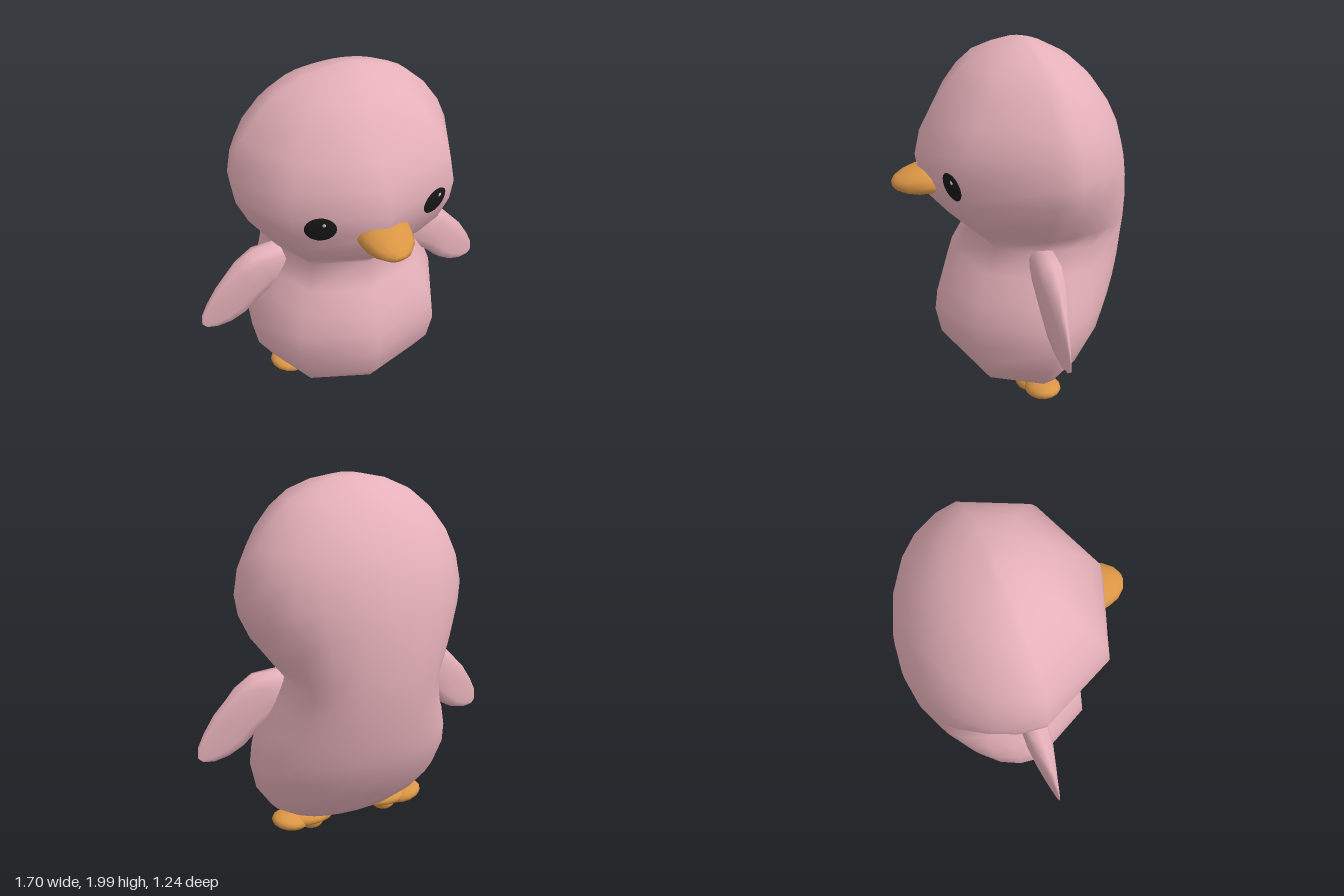
import * as THREE from 'three';

const material = (name, color) => {
  const m = new THREE.MeshStandardMaterial({ color });
  m.name = name;
  return m;
};

// Skin a list of closed rings and close both ends; optionally mirror in x.
function loft(rings, mirror = false) {
  const n = rings[0].length, pos = [], idx = [];
  for (const r of rings) for (const p of r) pos.push(...p);
  for (let i = 0; i < rings.length - 1; i++) {
    for (let j = 0; j < n; j++) {
      const k = (j + 1) % n, a = i * n + j, b = i * n + k;
      idx.push(a, b, b + n, a, b + n, a + n);
    }
  }
  [0, rings.length - 1].forEach((r, end) => {
    const c = pos.length / 3;
    for (let d = 0; d < 3; d++) pos.push(rings[r].reduce((s, p) => s + p[d], 0) / n);
    for (let j = 0; j < n; j++) {
      const a = r * n + j, b = r * n + (j + 1) % n;
      if (end) idx.push(a, b, c); else idx.push(b, a, c);
    }
  });
  if (mirror) {
    for (let i = 0; i < pos.length; i += 3) pos[i] *= -1;
    idx.reverse();
  }
  const g = new THREE.BufferGeometry();
  g.setAttribute('position', new THREE.Float32BufferAttribute(pos, 3));
  g.setIndex(idx);
  g.computeVertexNormals();
  return g;
}

const circle = (n) => Array.from({ length: n }, (_, i) => (i / n) * Math.PI * 2);

export function createModel() {
  const model = new THREE.Group();
  model.name = 'chick';
  const pink = material('pink plumage', 0xe5b0b9);
  const orange = material('orange beak and feet', 0xdb9645);
  const black = material('black eye', 0x181818);
  const white = material('eye glint', 0xc8c8c8);

  const add = (name, geometry, mat, parent = model) => {
    const m = new THREE.Mesh(geometry, mat);
    m.name = name;
    parent.add(m);
    return m;
  };

  // Head and body in one skin: y, half width, front z, back z
  const profile = [
    [0.085, 0.2, 0.1, -0.12], [0.13, 0.35, 0.22, -0.22], [0.21, 0.46, 0.31, -0.3],
    [0.34, 0.54, 0.4, -0.41], [0.5, 0.57, 0.43, -0.5], [0.62, 0.555, 0.415, -0.545],
    [0.74, 0.51, 0.38, -0.575], [0.87, 0.44, 0.31, -0.6], [1.0, 0.38, 0.23, -0.615],
    [1.1, 0.45, 0.33, -0.62], [1.22, 0.535, 0.43, -0.617], [1.35, 0.592, 0.48, -0.605],
    [1.46, 0.608, 0.495, -0.585], [1.59, 0.585, 0.465, -0.548], [1.7, 0.535, 0.4, -0.495],
    [1.82, 0.445, 0.31, -0.41], [1.91, 0.34, 0.215, -0.31], [1.97, 0.21, 0.1, -0.2],
    [2.0, 0.08, 0.0, -0.11],
  ];
  // Broad facets in front, a fine curve behind
  const angles = [0, 45];
  for (let a = 90; a <= 270; a += 15) angles.push(a);
  angles.push(315);
  const bodyRings = profile.map(([y, w, front, back]) => angles.map((deg) => {
    const a = THREE.MathUtils.degToRad(deg), c = Math.cos(a), mid = -0.07;
    // The neck pinch fades out toward the back
    const full = y > 0.45 && y < 1.5 ? Math.max(w, 0.6) : w;
    const width = c < 0 ? w + (full - w) * c * c : w;
    return [width * Math.sin(a), y, mid + c * (c > 0 ? front - mid : mid - back)];
  }));
  add('body', loft(bodyRings), pink);

  // Wings: upper edge x, y, lower edge x, y; they thin out sideways to a sharp rim
  const wing = [
    [0.38, 1.025, 0.34, 0.86], [0.53, 1.02, 0.42, 0.78], [0.63, 0.96, 0.51, 0.72],
    [0.75, 0.83, 0.6, 0.63], [0.81, 0.735, 0.68, 0.582], [0.845, 0.66, 0.76, 0.562],
    [0.85, 0.6, 0.82, 0.57],
  ];
  const wingRings = wing.map(([ux, uy, lx, ly]) => circle(12).map((a) => {
    const c = Math.cos(a) / 2, s = Math.sin(a);
    const x = (ux + lx) / 2 + (ux - lx) * c;
    const thick = 0.07 * Math.min(1, (0.86 - x) / 0.3);
    return [x, (uy + ly) / 2 + (uy - ly) * c, -0.073 + thick * Math.sign(s) * Math.sqrt(Math.abs(s))];
  }));
  add('leftWing', loft(wingRings), pink);
  add('rightWing', loft(wingRings, true), pink);

  // Beak: z, half width, half height, centre height
  const beak = [
    [0.39, 0.12, 0.065, 1.335], [0.43, 0.142, 0.077, 1.328], [0.49, 0.13, 0.073, 1.322],
    [0.55, 0.108, 0.058, 1.318], [0.6, 0.066, 0.036, 1.314], [0.62, 0.025, 0.014, 1.312],
  ];
  add('beak', loft(beak.map(([z, rx, ry, cy]) =>
    circle(12).map((a) => [-rx * Math.sin(a), cy + ry * Math.cos(a), z]))), orange);

  // Toes: name, centre, radii, turn about y, tilt about z
  const ball = new THREE.SphereGeometry(1, 14, 10);
  const toes = [
    ['outerToe', [0.355, 0.097, -0.1], [0.112, 0.05, 0.098], 0.2, 0.2],
    ['middleToe', [0.235, 0.073, -0.075], [0.08, 0.063, 0.1], 0.2, 0],
    ['innerToe', [0.125, 0.085, -0.015], [0.065, 0.05, 0.09], 0.1, 0],
    ['footPad', [0.24, 0.105, -0.1], [0.15, 0.05, 0.095], 0, 0],
  ];
  for (const s of [1, -1]) {
    const side = s > 0 ? 'left' : 'right';
    const foot = new THREE.Group();
    foot.name = side + 'Foot';
    model.add(foot);
    for (const [name, p, r, turn, tilt] of toes) {
      const toe = add(name, ball, orange, foot);
      toe.position.set(s * p[0], p[1], p[2]);
      toe.scale.set(...r);
      toe.rotation.set(0, s * turn, s * tilt);
    }

    // Eye discs lying on the face, each with a small glint
    const eye = new THREE.Group();
    eye.name = side + 'Eye';
    eye.position.set(s * 0.305, 1.4, 0.37);
    eye.lookAt(s * (0.305 + 0.361), 1.4 - 0.16, 0.37 + 0.933);
    model.add(eye);
    add('pupil', ball, black, eye).scale.set(0.079, 0.074, 0.011);
    const glint = add('glint', ball, white, eye);
    glint.position.set(0.018, 0.034, 0.009);
    glint.scale.set(0.009, 0.011, 0.004);
  }
  return model;
}
